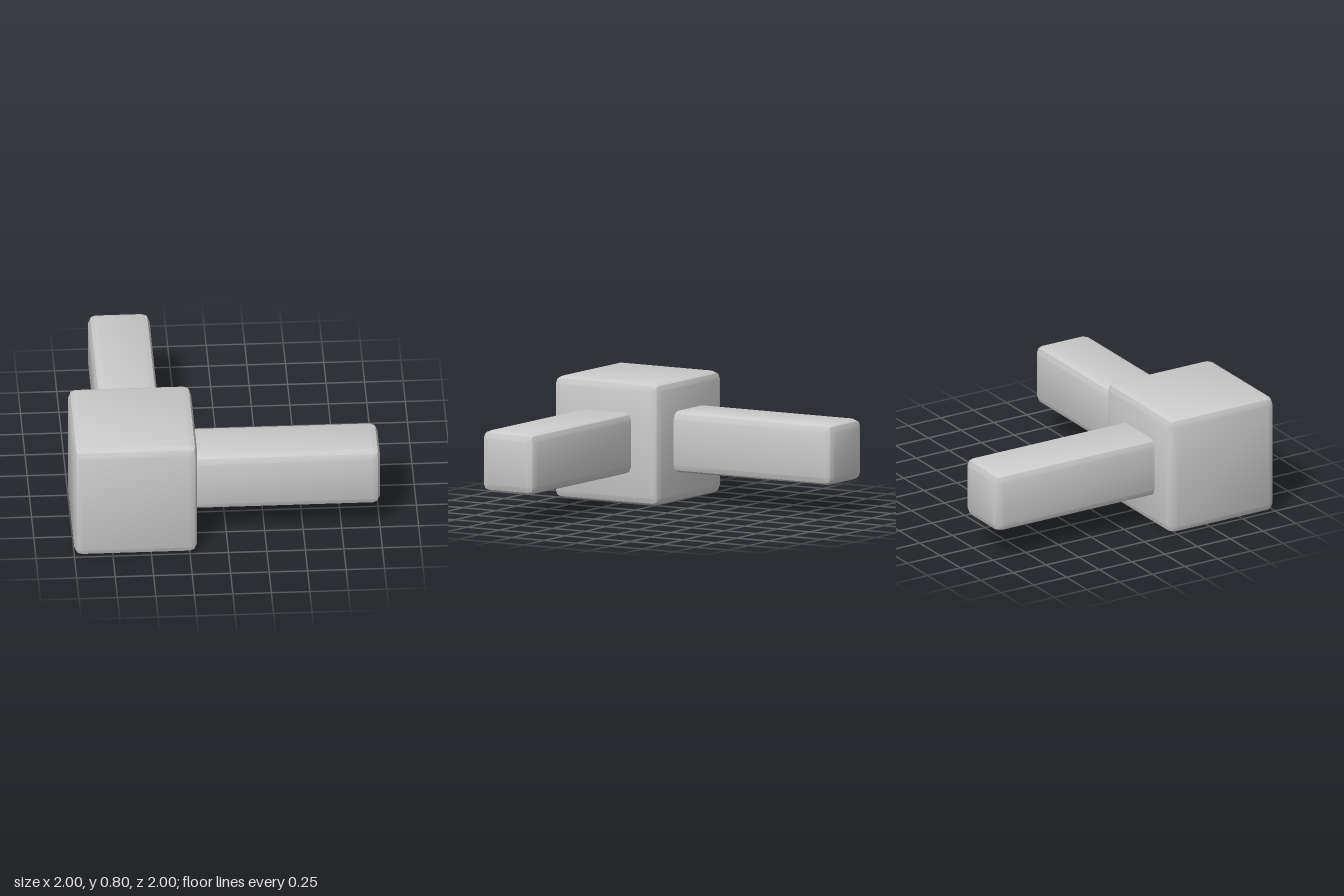
import * as THREE from 'three';
import { RoundedBoxGeometry } from 'three/addons/geometries/RoundedBoxGeometry.js';
import { toCreasedNormals } from 'three/addons/utils/BufferGeometryUtils.js';

const material = new THREE.MeshStandardMaterial({ color: 0xcccccc });
const BEVEL = 0.05;

// Bevelled block: soft faces, sharp seam along the middle of each bevel
function block(name, size, position) {
  const geometry = toCreasedNormals(new RoundedBoxGeometry(...size, 1, BEVEL), Math.PI / 6);
  const mesh = new THREE.Mesh(geometry, material);
  mesh.name = name;
  mesh.position.set(...position);
  return mesh;
}

export function createModel() {
  const group = new THREE.Group();
  group.name = 'cornerConnector';

  // Corner cube
  group.add(block('cornerCube', [0.8, 0.8, 0.8], [-0.6, 0.4, 0.6]));

  // Two arms at right angles, rooted inside the cube
  const length = 1.5, width = 0.4;
  group.add(block('leftArm', [length, width, width], [1 - length / 2, 0.4, 0.6]));
  group.add(block('backArm', [width, width, length], [-0.6, 0.4, -1 + length / 2]));

  return group;
}
